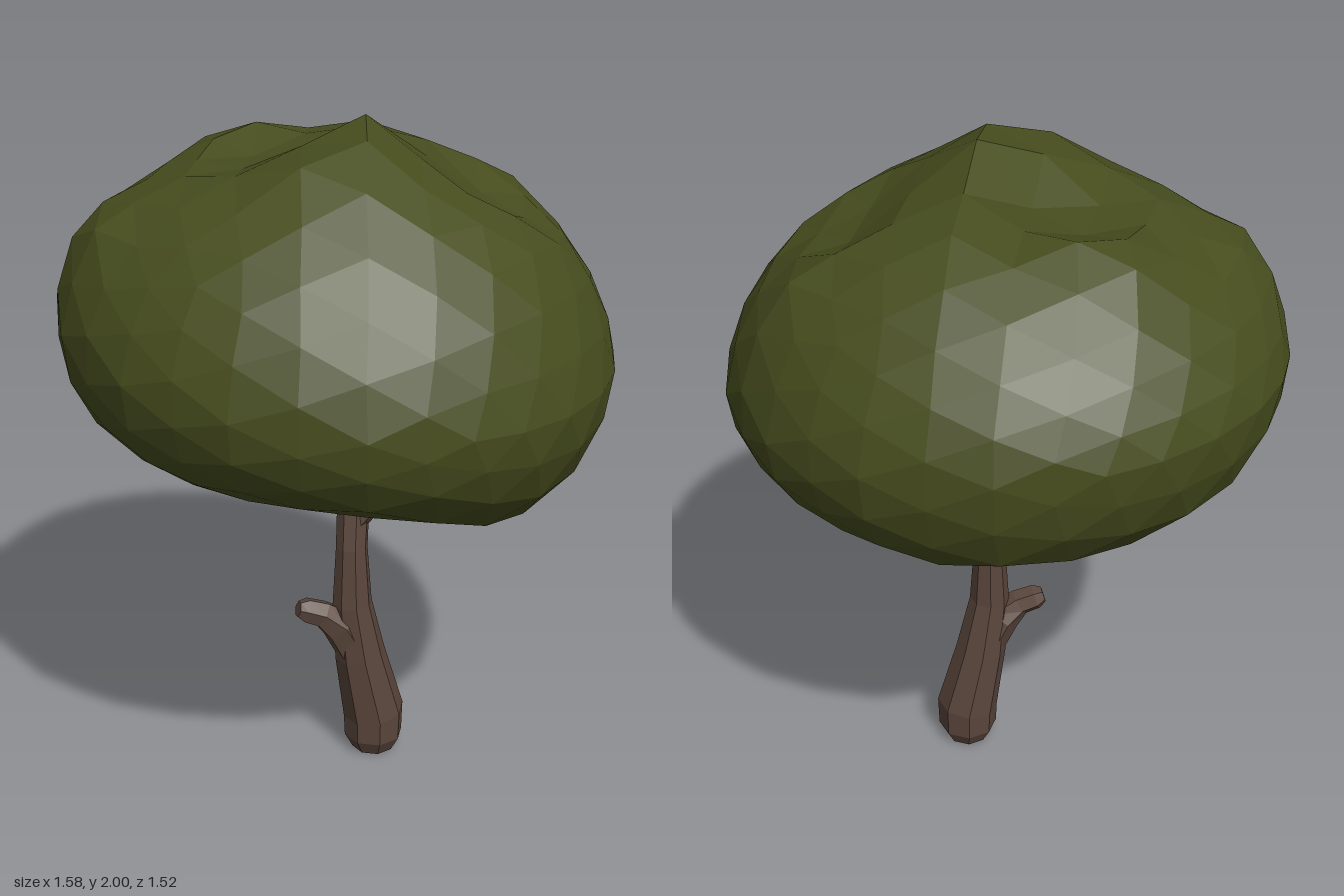
import * as THREE from 'three';

const bark = new THREE.MeshStandardMaterial({ color: 0x5a463c, flatShading: true });
const leaf = new THREE.MeshStandardMaterial({ color: 0x474d1e, flatShading: true });

// Faceted limb: rings [x, y, z, radius] joined along a path, closed at both ends
function limb(name, rings, sides) {
  const points = rings.map(([x, y, z]) => new THREE.Vector3(x, y, z));
  const up = new THREE.Vector3(0, 1, 0);
  const positions = [], index = [];
  rings.forEach((ring, i) => {
    const tangent = points[Math.min(i + 1, points.length - 1)].clone()
      .sub(points[Math.max(i - 1, 0)]).normalize();
    const turn = new THREE.Quaternion().setFromUnitVectors(up, tangent);
    for (let k = 0; k < sides; k++) {
      const a = (k / sides) * Math.PI * 2;
      const v = new THREE.Vector3(Math.sin(a), 0, Math.cos(a)).multiplyScalar(ring[3]);
      positions.push(...v.applyQuaternion(turn).add(points[i]).toArray());
    }
  });
  for (let i = 0; i < rings.length - 1; i++) {
    for (let k = 0; k < sides; k++) {
      const a = i * sides + k, b = i * sides + ((k + 1) % sides);
      index.push(a, b, b + sides, a, b + sides, a + sides);
    }
  }
  const top = (rings.length - 1) * sides;
  for (let k = 1; k < sides - 1; k++) {
    index.push(0, k + 1, k, top, top + k, top + k + 1);
  }
  const geometry = new THREE.BufferGeometry();
  geometry.setAttribute('position', new THREE.Float32BufferAttribute(positions, 3));
  geometry.setIndex(index);
  geometry.computeVertexNormals();
  const mesh = new THREE.Mesh(geometry, bark);
  mesh.name = name;
  return mesh;
}

// Humps and hollows on the dome: [x, z, height, width]
const humps = [
  [0.09, 0.0, 0.08, 0.15], [0.17, 0.24, 0.08, 0.17], [-0.44, -0.12, 0.06, 0.14],
  [-0.54, 0.5, 0.11, 0.13], [0.3, -0.6, 0.05, 0.15], [-0.1, -0.36, 0.03, 0.2],
  [-0.17, 0.03, -0.1, 0.17], [0.34, -0.24, -0.11, 0.17],
];
const lumpsAt = (x, z) => humps.reduce((sum, [cx, cz, h, w]) =>
  sum + h * Math.exp(-((x - cx) ** 2 + (z - cz) ** 2) / (w * w)), 0);

const angleBump = (a, centre, w) => {
  const d = Math.atan2(Math.sin(a - centre), Math.cos(a - centre));
  return Math.exp(-((d / w) ** 2));
};

// Lower crown profile from waist to underside centre: [step, radius, drop to rim, rise to ceiling]
const underside = [
  [0, 1, 0, 0], [0.17, 0.975, 0.4, 0], [0.33, 0.88, 0.77, 0], [0.46, 0.73, 1, 0],
  [0.58, 0.62, 1, 0.1], [0.72, 0.5, 1, 0.8], [1, 0, 1, 1],
];
function undersideAt(t) {
  const i = Math.max(1, underside.findIndex((row) => row[0] >= t - 1e-6));
  const a = underside[i - 1], b = underside[i];
  const f = (t - a[0]) / (b[0] - a[0]);
  return [1, 2, 3].map((k) => THREE.MathUtils.lerp(a[k], b[k], f));
}

// Leafy crown: a low-poly ball with a lumpy dome and a hollow underside
function crown() {
  const geometry = new THREE.IcosahedronGeometry(1, 4);
  const p = geometry.attributes.position;
  const d = new THREE.Vector3();
  for (let i = 0; i < p.count; i++) {
    d.fromBufferAttribute(p, i).normalize();
    const around = Math.atan2(d.z, d.x);
    const waist = 1.39 - 0.08 * d.x;
    let radius, y;
    if (d.y >= 0) {
      radius = Math.hypot(d.x, d.z) * (1 - 0.1 * d.y * (1 - d.y));
      const lumps = lumpsAt(0.795 * d.x, 0.77 * d.z);
      y = waist + d.y * (0.535 + 0.08 * d.x) + lumps * Math.min(1, d.y * 2);
    } else {
      const [r, drop, rise] = undersideAt(Math.min(1, Math.asin(Math.min(1, -d.y)) / (Math.PI / 2)));
      const rim = 1.075 - 0.15 * angleBump(around, 0, 0.75) - 0.03 * angleBump(around, -2.1, 0.4);
      radius = r;
      y = THREE.MathUtils.lerp(waist, rim, drop) + (1.36 - rim) * rise;
    }
    p.setXYZ(i, 0.795 * radius * Math.cos(around), y, 0.77 * radius * Math.sin(around));
  }
  geometry.computeVertexNormals();
  const mesh = new THREE.Mesh(geometry, leaf);
  mesh.name = 'crown';
  return mesh;
}

export function createModel() {
  const tree = new THREE.Group();
  tree.name = 'tree';
  tree.add(
    crown(),
    limb('trunk', [
      [0.095, 0.004, -0.07, 0.065], [0.095, 0.05, -0.07, 0.09], [0.095, 0.13, -0.07, 0.094],
      [0.07, 0.34, -0.03, 0.077], [0.057, 0.52, -0.005, 0.06],
      [0.053, 0.7, -0.008, 0.048], [0.045, 0.82, -0.028, 0.049], [0.035, 0.88, -0.04, 0.025],
    ], 8),
    // Cut stub swelling out of the trunk
    limb('stub', [
      [0.06, 0.36, -0.015, 0.06], [0.03, 0.45, 0.025, 0.058], [-0.005, 0.492, 0.065, 0.042],
      [-0.04, 0.51, 0.1, 0.039], [-0.055, 0.517, 0.118, 0.025],
    ], 6),
    limb('leftBranch', [
      [0.055, 0.79, -0.025, 0.042], [0.12, 0.88, -0.065, 0.038], [0.16, 0.96, -0.115, 0.028],
      [0.18, 1.12, -0.17, 0.018], [0.185, 1.21, -0.195, 0.01],
    ], 6),
    limb('rightBranch', [
      [0.04, 0.81, -0.025, 0.036], [-0.02, 0.91, 0, 0.026],
      [-0.15, 1.07, 0.04, 0.017], [-0.24, 1.17, 0.09, 0.009],
    ], 6),
    limb('frontBranch', [
      [0.03, 0.86, -0.05, 0.028], [0.03, 0.89, 0.02, 0.026], [0.055, 0.945, 0.225, 0.021],
      [0.035, 1.1, 0.29, 0.016], [0.03, 1.22, 0.33, 0.008],
    ], 6),
  );
  return tree;
}
